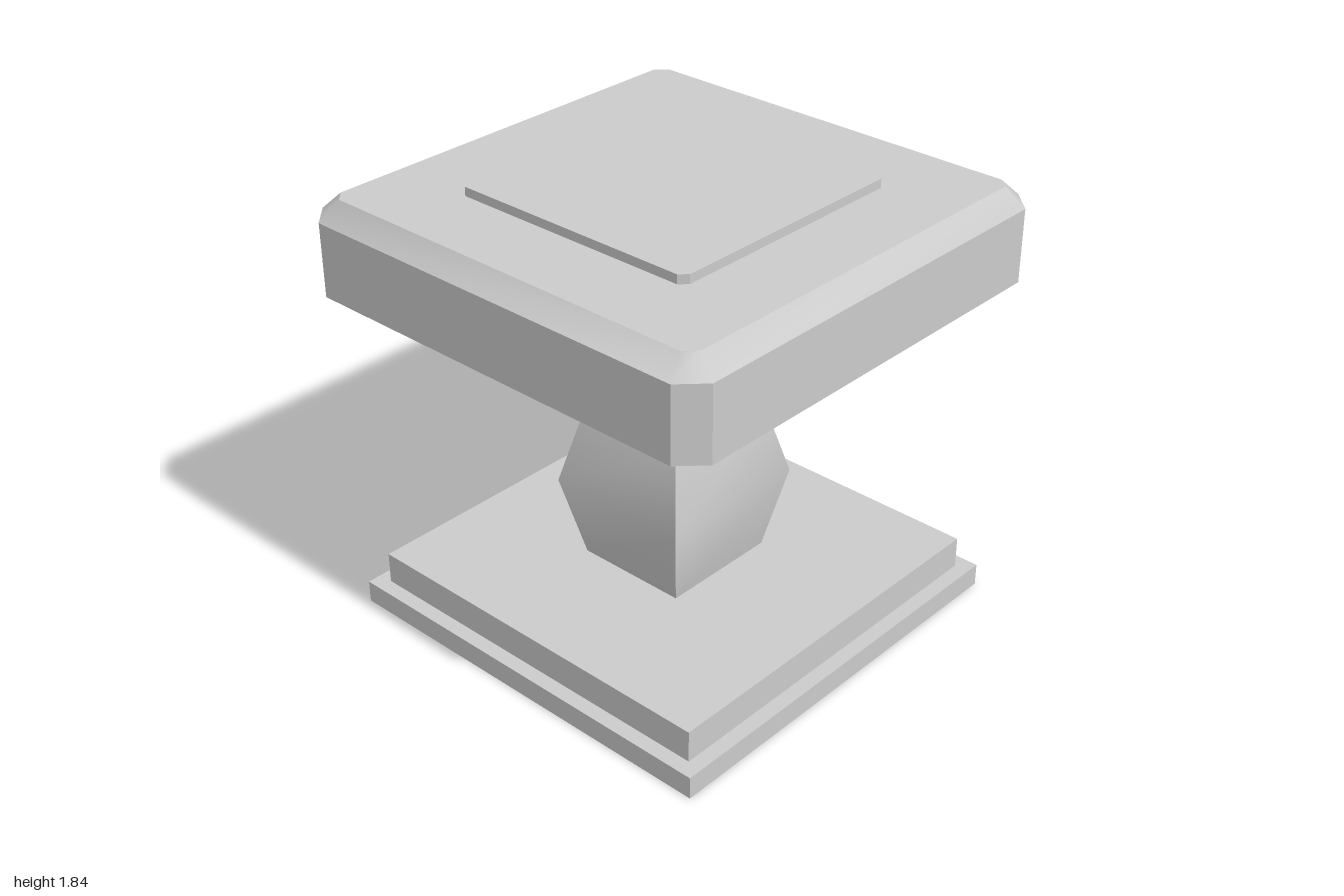
import * as THREE from 'three';
import { toCreasedNormals } from 'three/addons/utils/BufferGeometryUtils.js';

const material = new THREE.MeshStandardMaterial({ color: 0xcccccc });

// Rectangle outline (half sizes hx, hz) with optional cut corners.
function outline([y, hx, hz, cut = 0]) {
  const points = [];
  for (const [sx, sz] of [[1, 1], [-1, 1], [-1, -1], [1, -1]]) {
    const alongZ = [sx * hx, y, sz * (hz - cut)];
    const alongX = [sx * (hx - cut), y, sz * hz];
    if (!cut) points.push(alongZ);
    else if (sx === sz) points.push(alongZ, alongX);
    else points.push(alongX, alongZ);
  }
  return points;
}

// Closed solid through levels [y, halfX, halfZ, cornerCut], bottom to top.
function loft(levels) {
  const rings = levels.map(outline);
  const n = rings[0].length;
  const top = rings.length - 1;
  const v = [];
  for (let j = 0; j < n; j++) {
    const k = (j + 1) % n;
    for (let i = 0; i < top; i++) {
      const a = rings[i][j], b = rings[i][k], c = rings[i + 1][j], d = rings[i + 1][k];
      v.push(...a, ...c, ...b, ...b, ...c, ...d);
    }
    v.push(0, levels[0][0], 0, ...rings[0][j], ...rings[0][k]);
    v.push(0, levels[top][0], 0, ...rings[top][k], ...rings[top][j]);
  }
  const geometry = new THREE.BufferGeometry();
  geometry.setAttribute('position', new THREE.Float32BufferAttribute(v, 3));
  return toCreasedNormals(geometry, 0.73);
}

export function createModel() {
  const model = new THREE.Group();
  model.name = 'pedestalTable';
  const body = new THREE.Group();
  body.name = 'table';
  body.position.x = -0.045;
  model.add(body);

  const add = (name, geometry, x = 0, y = 0, z = 0) => {
    const mesh = new THREE.Mesh(geometry, material);
    mesh.name = name;
    mesh.position.set(x, y, z);
    body.add(mesh);
  };

  // Stepped base
  add('basePlinth', new THREE.BoxGeometry(1.756, 0.094, 1.756), 0, 0.047, 0);
  add('baseStep', new THREE.BoxGeometry(1.63, 0.133, 1.63), 0, 0.1605, 0);

  // Two bulging square column sections with a collar between them
  add('lowerColumn', loft([[0.227, 0.257, 0.242], [0.572, 0.336, 0.313], [0.876, 0.257, 0.242]]));
  add('collar', loft([
    [0.874, 0.257, 0.242], [0.876, 0.276, 0.26], [0.881, 0.282, 0.266],
    [0.925, 0.282, 0.266], [0.93, 0.276, 0.26], [0.938, 0.257, 0.242],
  ]));
  add('upperColumn', loft([[0.936, 0.257, 0.242], [1.13, 0.336, 0.313], [1.426, 0.257, 0.242]]));

  // Table top with cut corners and a bevelled upper edge
  add('tableTop', loft([
    [1.422, 0.86, 0.86, 0.07], [1.43, 0.955, 0.955, 0.094],
    [1.73, 0.955, 0.955, 0.094], [1.805, 0.877, 0.877, 0.045],
  ]));
  add('topPanel', loft([[1.8, 0.549, 0.549, 0.03], [1.842, 0.549, 0.549, 0.03]]));

  // Raised front of the drawer on the left side
  add('drawerFront', new THREE.BoxGeometry(0.1, 0.235, 1.53), 0.995, 1.578, 0);

  return model;
}
